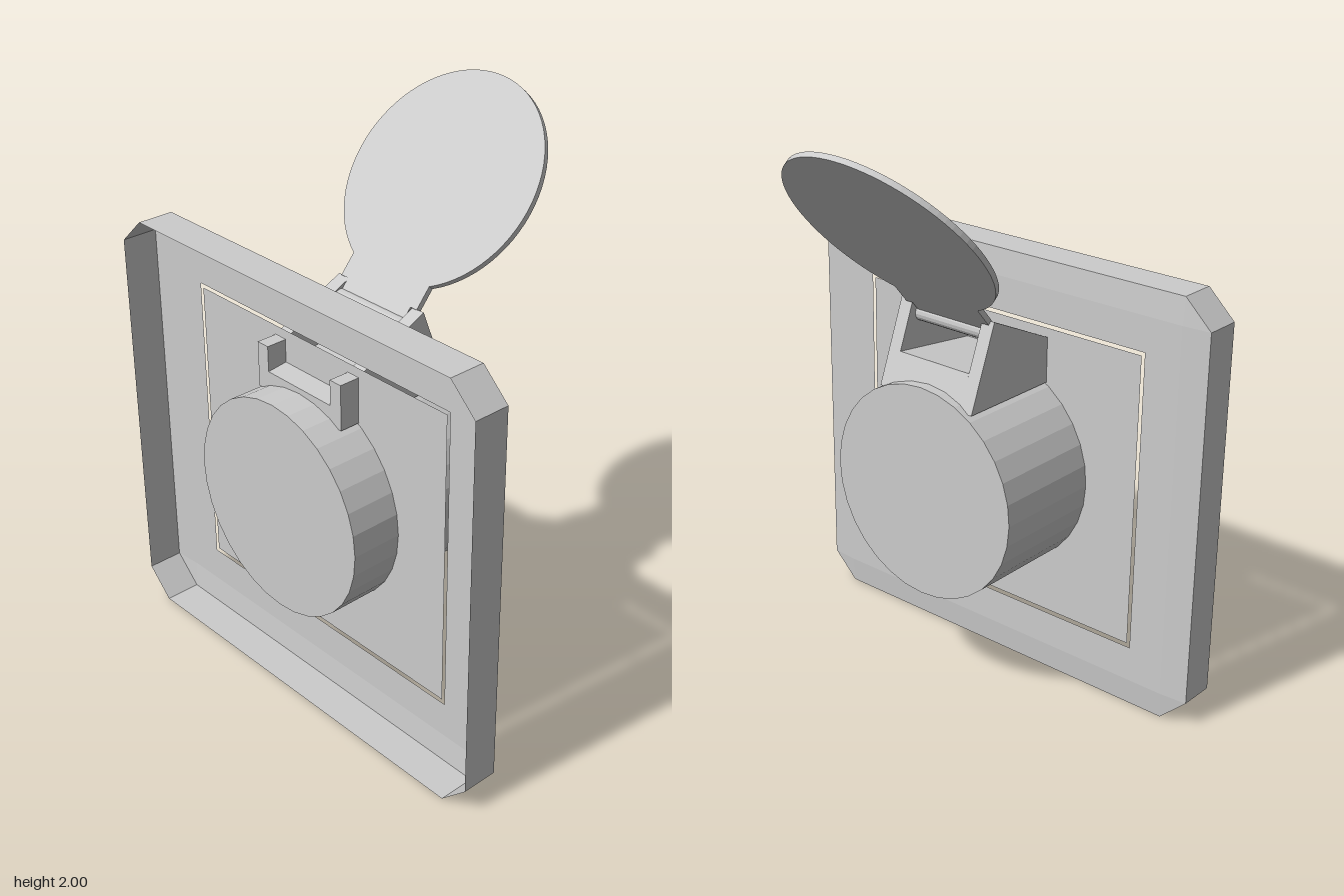
import * as THREE from 'three';

const material = new THREE.MeshStandardMaterial({ color: 0xcccccc, flatShading: true, side: THREE.DoubleSide });
const FACE = -0.317; // x of the plate's front face
const CY = 0.77;     // height of the barrel's axis

function add(parent, name, geometry) {
  const mesh = new THREE.Mesh(geometry, material);
  mesh.name = name;
  parent.add(mesh);
  return mesh;
}

const shapeOf = pts => new THREE.Shape(pts.map(p => new THREE.Vector2(...p)));

const rect = (w, y0, y1) => [[-w, y0], [w, y0], [w, y1], [-w, y1]];

// Side profile in x/y, extruded from z0 to z1
function slab(pts, z0, z1) {
  return new THREE.ExtrudeGeometry(shapeOf(pts), { depth: z1 - z0, bevelEnabled: false }).translate(0, 0, z0);
}

// Flat sheet facing +x, drawn in z/y
function sheet(shape) {
  return new THREE.ShapeGeometry(shape).rotateY(Math.PI / 2).translate(FACE, 0, 0);
}

// Skin between closed rings of equal point count
function loft(rings) {
  const pos = [];
  for (let r = 0; r < rings.length - 1; r++) {
    const a = rings[r], b = rings[r + 1], n = a.length;
    for (let i = 0; i < n; i++) {
      const j = (i + 1) % n;
      pos.push(...a[i], ...a[j], ...b[j], ...a[i], ...b[j], ...b[i]);
    }
  }
  const g = new THREE.BufferGeometry();
  g.setAttribute('position', new THREE.Float32BufferAttribute(pos, 3));
  g.computeVertexNormals();
  return g;
}

export function createModel() {
  const model = new THREE.Group();
  model.name = 'coveredWallSocket';

  // Wall plate: open-backed shell with clipped corners and a shallow front slope
  const plate = new THREE.Group();
  plate.name = 'wallPlate';
  model.add(plate);
  const W = 0.83, w = 0.73, H = 1.525, h0 = 0.095, h1 = 1.43;
  const octagon = [[w, 0], [W, h0], [W, h1], [w, H], [-w, H], [-W, h1], [-W, h0], [-w, 0]];
  const square = [[w, h0], [w, h0], [w, h1], [w, h1], [-w, h1], [-w, h1], [-w, h0], [-w, h0]];
  const ring = (pts, x) => pts.map(([s, y]) => [x, y, -s]);
  add(plate, 'plateRim', loft([ring(octagon, -0.455), ring(octagon, -0.325), ring(square, FACE)]));

  // Front frame and inner panel, separated by a narrow slit
  const frame = shapeOf(rect(w, h0, h1));
  frame.holes.push(shapeOf(rect(0.596, 0.223, 1.307)));
  add(plate, 'frontFrame', sheet(frame));
  add(plate, 'innerPanel', sheet(shapeOf(rect(0.584, 0.237, 1.294))));

  // Round socket barrel passing through the panel
  const barrel = add(model, 'socketBarrel', new THREE.CylinderGeometry(0.381, 0.381, 0.59, 32));
  barrel.rotation.z = Math.PI / 2;
  barrel.position.set(-0.205, CY, -0.004);

  // Hinge bracket: two cheeks with a lower bridge between them
  const hinge = new THREE.Group();
  hinge.name = 'hingeBracket';
  hinge.position.z = -0.005;
  model.add(hinge);
  const cheek = [[-0.39, 1.1], [0.07, 1.1], [-0.04, 1.39], [-0.32, 1.26], [-0.39, 1.26]];
  add(hinge, 'leftCheek', slab(cheek, 0.15, 0.2));
  add(hinge, 'rightCheek', slab(cheek, -0.2, -0.15));
  add(hinge, 'bridge', slab([[-0.39, 1.1], [0.07, 1.1], [0.0245, 1.22], [-0.39, 1.17]], -0.15, 0.15));
  const pin = add(hinge, 'hingePin', new THREE.CylinderGeometry(0.03, 0.03, 0.3, 16));
  pin.rotation.x = Math.PI / 2;
  pin.position.set(-0.08, 1.333, 0);

  // Open lid: disc with a stepped tab reaching down to the pin
  const R = 0.381, t = 0.178, spread = Math.asin(t / R);
  const outline = new THREE.Shape();
  outline.moveTo(-0.15, -0.48);
  outline.lineTo(0.15, -0.48);
  outline.lineTo(0.15, -0.42);
  outline.lineTo(t, -0.42);
  outline.absarc(0, 0, R, -Math.PI / 2 + spread, Math.PI * 1.5 - spread, false);
  outline.lineTo(-t, -0.42);
  outline.lineTo(-0.15, -0.42);
  const lid = add(model, 'hingedLid', new THREE.ExtrudeGeometry(outline, { depth: 0.02, bevelEnabled: false, curveSegments: 32 })
    .translate(0, 0, -0.01).rotateY(Math.PI / 2).rotateZ(-0.708));
  lid.position.set(0.235, 1.704, -0.01);

  return model;
}
